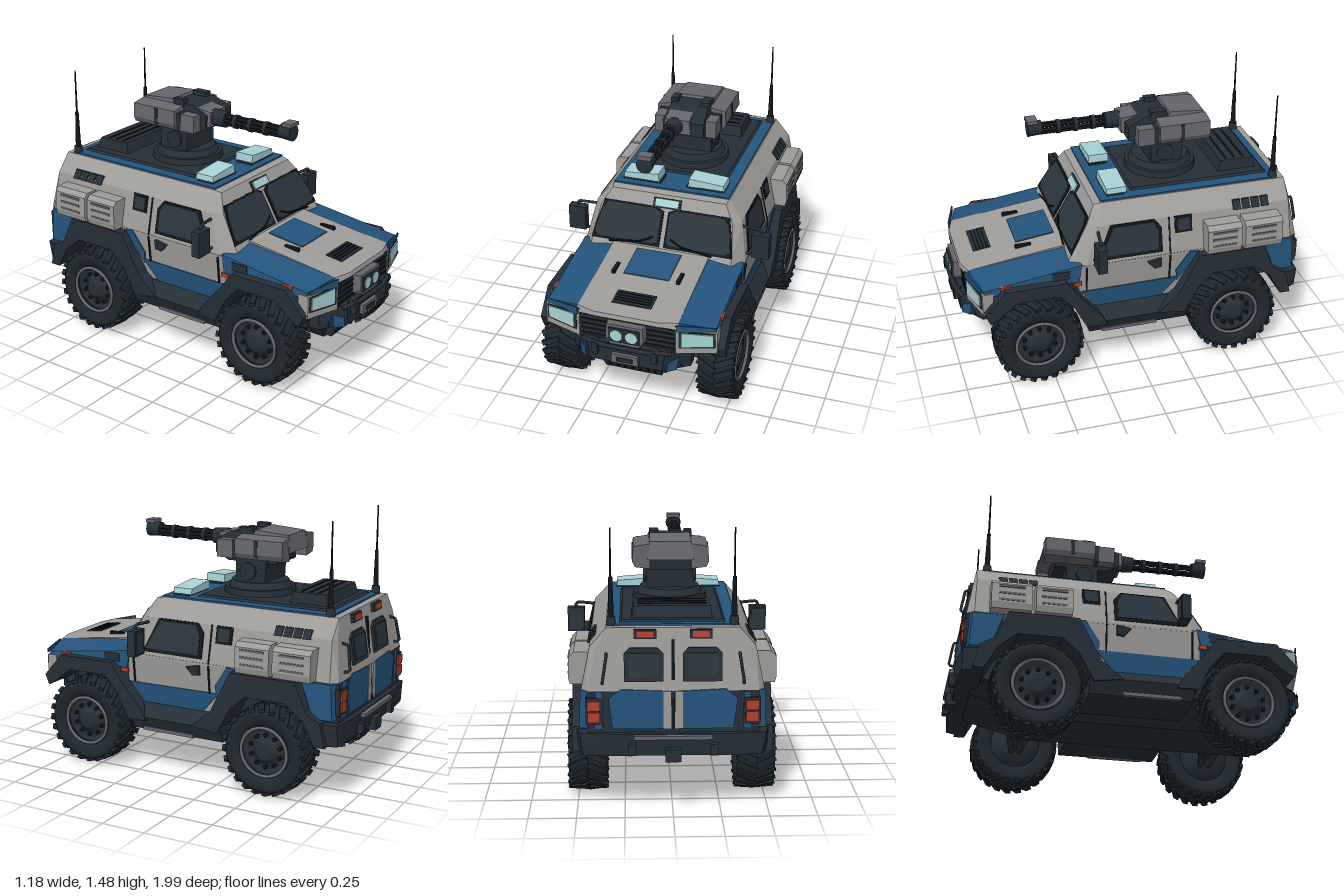
import * as THREE from 'three';
import { ConvexGeometry } from 'three/addons/geometries/ConvexGeometry.js';
import { mergeGeometries } from 'three/addons/utils/BufferGeometryUtils.js';

const paint = (name, color) => Object.assign(new THREE.MeshStandardMaterial({ color }), { name });
const M = {
  white: paint('pale grey paint', 0x9e9c99), blue: paint('blue paint', 0x24547c),
  dark: paint('dark trim', 0x252f37), tyre: paint('tyre rubber', 0x1f2930),
  glass: paint('dark glass', 0x2b363f), gun: paint('gunmetal grey', 0x66676d),
  lamp: paint('pale lamp glass', 0xa8d3d6), red: paint('red lamp', 0xb5402b),
  black: paint('black seams', 0x11171b),
};
const lerp = (v, a, b, c, d) => c + (d - c) * (v - a) / (b - a);
// surface rules of the body shell
const cabX = y => y < 0.67 ? lerp(y, 0.36, 0.67, 0.44, 0.47) : y < 0.88 ? lerp(y, 0.67, 0.88, 0.47, 0.425) : lerp(y, 0.88, 0.98, 0.425, 0.34);
const rearZ = y => y < 0.66 ? -0.94 : lerp(y, 0.66, 0.98, -0.94, -0.89);
const hoodY = z => lerp(z, 0.92, 0.36, 0.635, 0.71);
const shieldZ = y => lerp(y, 0.69, 0.97, 0.38, 0.22);

export function createModel() {
  const root = new THREE.Group();
  root.name = 'armouredTruck';
  const add = (name, mat, geo, parent = root) => {
    const m = new THREE.Mesh(geo, mat);
    m.name = name;
    parent.add(m);
    return m;
  };
  const box = (name, mat, [w, h, d], [x, y, z]) => add(name, mat, new THREE.BoxGeometry(w, h, d).translate(x, y, z));
  const hull = (name, mat, pts) => add(name, mat, new ConvexGeometry(pts.map(p => new THREE.Vector3(...p))));
  const symHull = (name, mat, pts) => hull(name, mat, pts.flatMap(([x, y, z]) => [[x, y, z], [-x, y, z]]));
  const plate = (name, mat, pts, dir, t = 0.007) => hull(name, mat, pts.concat(pts.map(p => p.map((v, i) => v + dir[i] * t))));
  const side = (name, mat, s, zy, t) => plate(name, mat, zy.map(([z, y]) => [s * cabX(y), y, z]), [s, 0, 0], t);
  const rear = (name, mat, s, xy, t) => plate(name, mat, xy.map(([x, y]) => [s * x, y, rearZ(y)]), [0, 0, -1], t);
  const front = (name, mat, s, xy, t) => plate(name, mat, xy.map(([x, y]) => [s * x, y, shieldZ(y)]), [0, 0.5, 0.87], t);
  const hood = (name, mat, xz, t) => plate(name, mat, xz.map(([x, z]) => [x, hoodY(z), z]), [0, 1, 0], t);
  const rod = (name, mat, r0, r1, len, pos, axis = 'y', n = 16) => {
    const g = new THREE.CylinderGeometry(r1, r0, len, n);
    if (axis === 'x') g.rotateZ(-Math.PI / 2);
    if (axis === 'z') g.rotateX(Math.PI / 2);
    return add(name, mat, g.translate(...pos));
  };
  const rect = (a0, a1, b0, b1) => [[a0, b0], [a1, b0], [a1, b1], [a0, b1]];
  const tube = (name, mat, r, pts) => add(name, mat, new THREE.TubeGeometry(new THREE.CatmullRomCurve3(pts.map(p => new THREE.Vector3(...p)), false, 'catmullrom', 0.1), 16, r, 6));

  // cabin shell, lower body and chassis
  symHull('cabin', M.white, [[0.47, 0.66, 0.30], [0.42, 0.66, 0.385], [0.41, 0.69, 0.38], [0.425, 0.88, 0.22], [0.385, 0.88, shieldZ(0.88)],
    [0.33, 0.97, 0.22], [0.34, 0.98, 0.17], [0.34, 0.98, -0.89], [0.425, 0.88, -0.89], [0.39, 0.88, rearZ(0.88)], [0.47, 0.66, -0.90], [0.44, 0.66, -0.94]]);
  symHull('lowerCabin', M.white, [[0.47, 0.67, 0.34], [0.47, 0.67, -0.38], [0.455, 0.51, 0.34], [0.44, 0.36, 0.25], [0.44, 0.36, -0.24]]);
  symHull('sill', M.dark, [[0.45, 0.39, 0.27], [0.45, 0.39, -0.26], [0.515, 0.32, 0.29], [0.515, 0.32, -0.28], [0.48, 0.24, 0.29], [0.48, 0.24, -0.28], [0.38, 0.24, 0.29], [0.38, 0.24, -0.28]]);
  symHull('engineBay', M.dark, [[0.30, 0.62, 0.88], [0.30, 0.66, 0.3], [0.29, 0.34, 0.90], [0.30, 0.34, 0.3]]);
  symHull('rearBay', M.dark, [[0.34, 0.66, -0.3], [0.34, 0.66, -0.93], [0.32, 0.34, -0.3], [0.32, 0.34, -0.92]]);
  symHull('bellyPlate', M.dark, [[0.30, 0.38, 0.84], [0.30, 0.38, -0.88], [0.17, 0.20, 0.80], [0.17, 0.20, -0.55], [0.2, 0.30, -0.88]]);
  symHull('skidPlate', M.dark, [[0.19, 0.38, 0.93], [0.16, 0.21, 0.84], [0.16, 0.21, 0.7], [0.19, 0.38, 0.7]]);
  for (let i = -3; i <= 3; i++) hull('skidRib', M.black, rect(i * 0.043 - 0.006, i * 0.043 + 0.006, 0.23, 0.34).flatMap(([x, y]) => [0, 0.008].map(d => [x, y, lerp(y, 0.21, 0.38, 0.84, 0.93) + d])));

  // hood and nose
  symHull('hoodCentre', M.white, [[0.28, 0.635, 0.92], [0.28, 0.71, 0.36], [0.28, 0.60, 0.93], [0.28, 0.6, 0.36], [0.18, 0.635, 0.95], [0.18, 0.61, 0.955]]);
  hood('hoodPatch', M.blue, rect(-0.13, 0.13, 0.40, 0.62));
  hood('hoodVent', M.dark, rect(-0.11, 0.11, 0.76, 0.86), 0.009);
  for (let i = 0; i < 4; i++) hood('ventSlat', M.black, rect(-0.1, 0.1, 0.775 + i * 0.02, 0.783 + i * 0.02), 0.013);
  box('grille', M.dark, [0.56, 0.17, 0.06], [0, 0.535, 0.90]);
  for (let i = 0; i < 5; i++) box('grilleSlat', M.black, [0.52, 0.011, 0.02], [0, 0.475 + i * 0.03, 0.925]);
  symHull('centreLampBox', M.gun, [[0.11, 0.585, 0.91], [0.11, 0.485, 0.91], [0.10, 0.59, 0.975], [0.105, 0.51, 0.98], [0.08, 0.47, 0.98]]);
  box('centreLampRecess', M.dark, [0.17, 0.085, 0.01], [0, 0.533, 0.981]);
  symHull('frontBumper', M.dark, [[0.33, 0.46, 0.86], [0.33, 0.33, 0.86], [0.22, 0.46, 0.965], [0.20, 0.34, 0.965], [0.33, 0.46, 0.8], [0.33, 0.33, 0.8]]);
  box('winch', M.gun, [0.15, 0.055, 0.03], [0, 0.38, 0.97]);
  box('winchSlot', M.dark, [0.09, 0.025, 0.008], [0, 0.38, 0.987]);
  tube('brushGuard', M.dark, 0.014, [[-0.25, 0.45, 0.95], [-0.19, 0.46, 0.975], [-0.12, 0.455, 0.985], [0.12, 0.455, 0.985], [0.19, 0.46, 0.975], [0.25, 0.45, 0.95]]);

  // roof
  plate('roofBorder', M.blue, rect(-0.335, 0.335, 0.18, -0.85).map(([x, z]) => [x, 0.98, z]), [0, 1, 0], 0.009);
  hull('roofDeck', M.dark, [[-0.28, 0.98, 0], [0.28, 0.98, 0], [0.28, 0.98, -0.82], [-0.28, 0.98, -0.82], [-0.26, 1.0, -0.02], [0.26, 1.0, -0.02], [0.26, 1.0, -0.80], [-0.26, 1.0, -0.80]]);
  symHull('rearHatch', M.dark, [[0.21, 0.99, -0.54], [0.21, 0.99, -0.77], [0.2, 1.06, -0.56], [0.2, 1.06, -0.75]]);
  for (let i = 0; i < 3; i++) box('hatchRib', M.black, [0.36, 0.008, 0.012], [0, 1.06, -0.60 - i * 0.05]);
  front('browLampFrame', M.dark, 1, rect(-0.08, 0.08, 0.905, 0.955), 0.008);
  front('browLamp', M.lamp, 1, rect(-0.068, 0.068, 0.911, 0.95), 0.016);

  // rear bumper and step
  symHull('rearBumper', M.dark, [[0.50, 0.44, -0.84], [0.50, 0.32, -0.84], [0.48, 0.44, -0.95], [0.46, 0.32, -0.95], [0.3, 0.44, -0.97], [0.3, 0.32, -0.96]]);
  box('rearStep', M.gun, [0.40, 0.02, 0.05], [0, 0.425, -0.97]);
  box('towHitch', M.dark, [0.08, 0.07, 0.06], [0, 0.33, -0.965]);
  symHull('rearWall', M.dark, [[0.44, 0.66, -0.94], [0.44, 0.44, -0.94], [0.44, 0.66, -0.86], [0.44, 0.44, -0.86]]);
  rear('rearDoorSeam', M.black, 1, rect(-0.008, 0.008, 0.46, 0.92), 0.014);

  // fender outlines in z and y: outer edge, then arch back
  const fenders = {
    frontFender: [[0.85, 0.42], [0.875, 0.48], [0.76, 0.61], [0.42, 0.61], [0.34, 0.50], [0.23, 0.37], [0.19, 0.30], [0.31, 0.30], [0.38, 0.44], [0.46, 0.53], [0.70, 0.53], [0.80, 0.45]],
    rearFender: [[-0.10, 0.32], [-0.22, 0.42], [-0.34, 0.655], [-0.72, 0.655], [-0.79, 0.50], [-0.87, 0.45], [-0.90, 0.32], [-0.84, 0.32], [-0.77, 0.45], [-0.67, 0.53], [-0.43, 0.53], [-0.34, 0.45], [-0.26, 0.30]],
  };
  const arch = (name, pts, s, outer, width) => add(name, M.dark,
    new THREE.ExtrudeGeometry(new THREE.Shape(pts.map(p => new THREE.Vector2(...p))), { depth: width, bevelEnabled: false }).rotateY(-Math.PI / 2).translate(s > 0 ? outer : width - outer, 0, 0));

  for (const s of [1, -1]) {
    for (const [name, pts] of Object.entries(fenders)) arch(name, pts, s, 0.52, 0.215);
    // hood flank, headlamp and nose details
    hull('hoodFlank', M.blue, [[0.28, 0.635, 0.92], [0.28, 0.70, 0.35], [0.47, 0.605, 0.87], [0.47, 0.68, 0.32], [0.28, 0.56, 0.92], [0.28, 0.58, 0.32], [0.475, 0.57, 0.87], [0.475, 0.58, 0.34]].map(([x, y, z]) => [s * x, y, z]));
    const lampPts = (x0, x1, y0, y1, dz) => [[x0, y0], [x1, y0 + 0.01], [x1, y1 - 0.01], [x0, y1]].map(([x, y]) => [s * x, y, lerp(x, 0.27, 0.48, 0.935, 0.88) + dz]);
    plate('headlampFrame', M.white, lampPts(0.27, 0.48, 0.45, 0.60, -0.06), [0, 0, 1], 0.06);
    plate('headlampRecess', M.dark, lampPts(0.285, 0.47, 0.485, 0.592, 0), [0, 0, 1], 0.005);
    plate('headlamp', M.lamp, lampPts(0.30, 0.462, 0.495, 0.585, 0.004), [0, 0, 1]);
    plate('noseStripe', M.blue, lampPts(0.275, 0.475, 0.59, 0.63, 0), [0, 0, 1], 0.008);
    rod('centreLamp', M.lamp, 0.033, 0.033, 0.012, [s * 0.042, 0.533, 0.984], 'z', 20);
    plate('towTab', M.blue, [[0.225, 0.335], [0.27, 0.335], [0.28, 0.41], [0.23, 0.39]].map(([x, y]) => [s * x, y, lerp(x, 0.20, 0.33, 0.974, 0.862)]), [0, 0, 1], 0.009);
    box('towHook', M.dark, [0.03, 0.07, 0.05], [s * 0.165, 0.43, 0.97]);
    box('hoodLatch', M.black, [0.02, 0.02, 0.09], [s * 0.185, 0.685, 0.59]);
    box('fenderIntake', M.dark, [0.02, 0.05, 0.10], [s * 0.466, 0.63, 0.44]);
    box('foreMarker', M.red, [0.02, 0.02, 0.06], [s * 0.472, 0.61, 0.75]);
    box('sideMarker', M.red, [0.014, 0.022, 0.045], [s * 0.476, 0.568, 0.35]);

    // windscreen halves with frame and wiper
    front('windscreenFrame', M.black, s, [[0.012, 0.715], [0.41, 0.715], [0.395, 0.80], [0.365, 0.91], [0.06, 0.91], [0.012, 0.89]], 0.005);
    front('windscreen', M.glass, s, [[0.025, 0.74], [0.05, 0.728], [0.37, 0.728], [0.395, 0.745], [0.37, 0.86], [0.34, 0.90], [0.06, 0.90], [0.025, 0.88]], 0.009);
    tube('wiper', M.black, 0.005, [[s * 0.30, 0.72, 0.385], [s * 0.12, 0.74, 0.37], [s * 0.05, 0.77, 0.353]]);

    // side door, windows and painted patches
    side('sideWindowFrame', M.black, s, [[0.235, 0.69], [0.15, 0.88], [-0.10, 0.88], [-0.14, 0.83], [-0.14, 0.69]], 0.005);
    side('sideWindow', M.glass, s, [[0.215, 0.71], [0.135, 0.868], [-0.09, 0.868], [-0.118, 0.82], [-0.118, 0.71]], 0.009);
    side('smallWindowFrame', M.black, s, rect(-0.215, -0.315, 0.785, 0.88), 0.005);
    side('smallWindow', M.glass, s, rect(-0.23, -0.30, 0.80, 0.868), 0.009);
    side('doorPatch', M.blue, s, [[0.33, 0.50], [0.23, 0.38], [-0.13, 0.38], [-0.24, 0.505]]);
    side('flankPatch', M.blue, s, [[-0.23, 0.48], [-0.36, 0.66], [-0.30, 0.67], [-0.22, 0.55]]);
    for (const z of [0.30, -0.18]) side('doorSeam', M.black, s, rect(z, z - 0.008, 0.50, 0.66), 0.009);
    side('doorSeam', M.black, s, rect(-0.18, -0.188, 0.67, 0.88), 0.005);
    side('doorHandle', M.dark, s, [[-0.05, 0.64], [-0.13, 0.655], [-0.13, 0.60], [-0.09, 0.595]], 0.02);
    for (let i = 0; i < 4; i++) side('airVent', M.dark, s, rect(-0.56 - i * 0.055, -0.605 - i * 0.055, 0.87, 0.915), 0.012);
    box('sideStep', M.gun, [0.045, 0.02, 0.32], [s * 0.475, 0.25, 0.06]);

    // stowage boxes on the rear flank
    for (const [z0, z1] of [[-0.38, -0.58], [-0.60, -0.82]]) {
      hull('stowageBox', M.white, [[0.44, 0.665], [0.53, 0.665], [0.54, 0.70], [0.535, 0.81], [0.51, 0.835], [0.42, 0.835]].flatMap(([x, y]) => [[s * x, y, z0], [s * x, y, z1]]));
      for (const y of [0.715, 0.755, 0.795]) box('boxRib', M.gun, [0.008, 0.012, 0.14], [s * 0.538, y, (z0 + z1) / 2]);
    }

    // rear corner, tail lamps and rear doors
    hull('rearCorner', M.blue, [[0.36, 0.655, -0.74], [0.475, 0.655, -0.74], [0.475, 0.655, -0.91], [0.36, 0.655, -0.95], [0.36, 0.46, -0.81], [0.48, 0.46, -0.81], [0.48, 0.46, -0.92], [0.36, 0.46, -0.95]].map(([x, y, z]) => [s * x, y, z]));
    box('tailLampHousing', M.dark, [0.085, 0.14, 0.03], [s * 0.405, 0.555, -0.935]);
    for (const y of [0.525, 0.585]) box('tailLamp', M.red, [0.065, 0.052, 0.014], [s * 0.405, y, -0.952]);
    rear('rearDoorPatch', M.blue, s, [[0.04, 0.46], [0.31, 0.46], [0.33, 0.62], [0.27, 0.67], [0.1, 0.64], [0.04, 0.66]]);
    rear('rearDoorStrip', M.white, s, rect(0.01, 0.05, 0.46, 0.66), 0.010);
    rear('rearWindowFrame', M.dark, s, [[0.05, 0.71], [0.25, 0.71], [0.25, 0.85], [0.22, 0.88], [0.08, 0.88], [0.05, 0.85]], 0.012);
    rear('rearWindow', M.glass, s, rect(0.075, 0.225, 0.735, 0.855), 0.018);
    rear('roofTailLampBase', M.dark, s, rect(0.085, 0.20, 0.927, 0.972), 0.018);
    rear('roofTailLamp', M.red, s, rect(0.10, 0.185, 0.936, 0.966), 0.024);
    tube('rearGrabRail', M.dark, 0.008, [[s * 0.36, 0.70, -0.93], [s * 0.36, 0.71, -0.965], [s * 0.34, 0.84, -0.945], [s * 0.34, 0.85, -0.905]]);
    box('rearShackle', M.dark, [0.04, 0.06, 0.06], [s * 0.21, 0.36, -0.965]);

    // mirror with bracket
    box('mirror', M.dark, [0.10, 0.145, 0.05], [s * 0.54, 0.755, 0.235]);
    box('mirrorGlass', M.glass, [0.075, 0.12, 0.006], [s * 0.54, 0.755, 0.208]);
    tube('mirrorBracket', M.dark, 0.009, [[s * 0.43, 0.85, 0.22], [s * 0.53, 0.855, 0.235], [s * 0.545, 0.83, 0.235]]);
    tube('mirrorBracket', M.dark, 0.009, [[s * 0.45, 0.70, 0.25], [s * 0.53, 0.69, 0.235]]);

    // roof lamp bars and antennas
    box('lampBarBase', M.dark, [0.22, 0.015, 0.10], [s * 0.185, 0.993, 0.085]);
    hull('lampBar', M.lamp, [[0.085, 0.998], [0.295, 0.998], [0.29, 1.03], [0.09, 1.045]].flatMap(([x, y]) => [[s * x, y, 0.02], [s * x, y, 0.135]]));
    rod('antennaMount', M.dark, 0.028, 0.022, 0.05, [s * 0.315, 1.0, -0.83], 'y', 10);
    rod('antennaBase', M.black, 0.016, 0.01, 0.22, [s * 0.315, 1.12, -0.83], 'y', 8);
    rod('antennaWhip', M.black, 0.006, 0.004, 0.26, [s * 0.315, 1.35, -0.83], 'y', 6);
  }

  // wheels, with outer face towards +x before turning
  const turn = (pts, n = 40) => new THREE.LatheGeometry(pts.map(p => new THREE.Vector2(...p)), n).rotateZ(-Math.PI / 2);
  const tyre = turn([[0.14, -0.08], [0.15, -0.092], [0.205, -0.102], [0.229, -0.09], [0.238, -0.05], [0.238, 0.05], [0.229, 0.09], [0.205, 0.102], [0.15, 0.092], [0.14, 0.06]]);
  const treads = [];
  for (let i = 0; i < 24; i++) for (const s of [1, -1])
    treads.push(new THREE.BoxGeometry(0.11, 0.02, 0.032).rotateY(s * 0.45).rotateZ(-s * 0.07).translate(s * 0.05, 0.236, 0).rotateX((i + (s > 0 ? 0.5 : 0)) * Math.PI / 12));
  const tread = mergeGeometries(treads);
  const rim = turn([[0, -0.08], [0.142, -0.08], [0.142, 0.062], [0.12, 0.062], [0.105, 0.045], [0.07, 0.06], [0.055, 0.085], [0.035, 0.09], [0, 0.09]], 32);
  const ring = new THREE.TorusGeometry(0.135, 0.01, 6, 40).rotateY(Math.PI / 2).translate(0.088, 0, 0);
  const bolts = mergeGeometries(Array.from({ length: 10 }, (_, i) =>
    new THREE.CylinderGeometry(0.011, 0.011, 0.03, 6).rotateZ(Math.PI / 2).translate(0.06, 0.09, 0).rotateX(i * Math.PI / 5)));
  for (const z of [0.58, -0.555]) {
    for (const s of [1, -1]) {
      const wheel = new THREE.Group();
      wheel.name = z > 0 ? 'frontWheel' : 'rearWheel';
      add('tyre', M.tyre, tyre, wheel);
      add('tread', M.tyre, tread, wheel);
      add('rim', M.dark, rim, wheel);
      add('rimRing', M.gun, ring, wheel);
      add('wheelBolts', M.black, bolts, wheel);
      wheel.position.set(s * 0.447, 0.248, z);
      wheel.rotation.y = s > 0 ? 0 : Math.PI;
      root.add(wheel);
      for (const dz of [-0.07, 0.07]) tube('suspensionArm', M.dark, 0.018, [[s * 0.15, 0.27, z + dz], [s * 0.36, 0.20, z + dz * 0.3]]);
      rod('damper', M.black, 0.03, 0.03, 0.22, [s * 0.29, 0.36, z], 'y', 10);
    }
    rod('axle', M.dark, 0.03, 0.03, 0.74, [0, 0.248, z], 'x', 12);
  }

  // turret base and pedestal
  rod('turretBase', M.dark, 0.205, 0.20, 0.04, [0, 1.015, -0.26], 'y', 24);
  rod('turretRing', M.dark, 0.18, 0.16, 0.035, [0, 1.052, -0.26], 'y', 24);
  symHull('pedestal', M.dark, [[0.13, 1.06, -0.17], [0.13, 1.06, -0.35], [0.125, 1.20, -0.17], [0.125, 1.20, -0.36]]);
  rod('trunnion', M.dark, 0.048, 0.048, 0.29, [0, 1.13, -0.25], 'x', 20);
  // turret housing
  symHull('turretBody', M.dark, [[0.12, 1.18, -0.12], [0.12, 1.18, -0.42], [0.12, 1.22, -0.04], [0.12, 1.30, -0.04], [0.11, 1.345, -0.14], [0.11, 1.345, -0.44]]);
  symHull('turretCap', M.gun, [[0.125, 1.25, -0.24], [0.125, 1.25, -0.50], [0.11, 1.36, -0.28], [0.11, 1.345, -0.48]]);
  hull('gunCradle', M.gun, [[-0.11, 1.22], [0.05, 1.22], [0.04, 1.34], [-0.10, 1.34]].flatMap(([x, y]) => [[x, y, -0.16], [x, lerp(y, 1.22, 1.34, 1.235, 1.32), -0.02]]));
  box('sight', M.dark, [0.05, 0.06, 0.09], [0.085, 1.34, -0.22]);
  box('sight', M.dark, [0.04, 0.05, 0.07], [-0.10, 1.345, -0.23]);
  for (const s of [1, -1]) {
    hull('ammoBox', M.gun, [[0.11, 1.20], [0.19, 1.21], [0.205, 1.24], [0.20, 1.32], [0.11, 1.335]].flatMap(([x, y]) => [[s * x, y, -0.20], [s * x, y, -0.49]]));
    box('ammoBand', M.dark, [0.008, 0.09, 0.02], [s * 0.203, 1.27, -0.33]);
    box('sidePod', M.gun, [0.06, 0.10, 0.13], [s * 0.15, 1.255, -0.145]);
    box('podBand', M.dark, [0.064, 0.104, 0.025], [s * 0.15, 1.255, -0.185]);
  }
  // rotary gun
  const gx = -0.045, gy = 1.28;
  rod('gunSleeve', M.dark, 0.05, 0.045, 0.09, [gx, gy, 0.01], 'z', 16);
  for (let i = 0; i < 6; i++) rod('barrel', M.black, 0.011, 0.011, 0.46, [gx + 0.024 * Math.cos(i * Math.PI / 3), gy + 0.024 * Math.sin(i * Math.PI / 3), 0.26], 'z', 8);
  for (const z of [0.12, 0.22, 0.32]) rod('barrelClamp', M.dark, 0.039, 0.039, 0.022, [gx, gy, z], 'z', 16);
  rod('muzzle', M.dark, 0.04, 0.046, 0.08, [gx, gy + 0.008, 0.455], 'z', 16);
  box('muzzleSight', M.gun, [0.08, 0.02, 0.06], [gx, gy + 0.055, 0.47]);
  return root;
}
